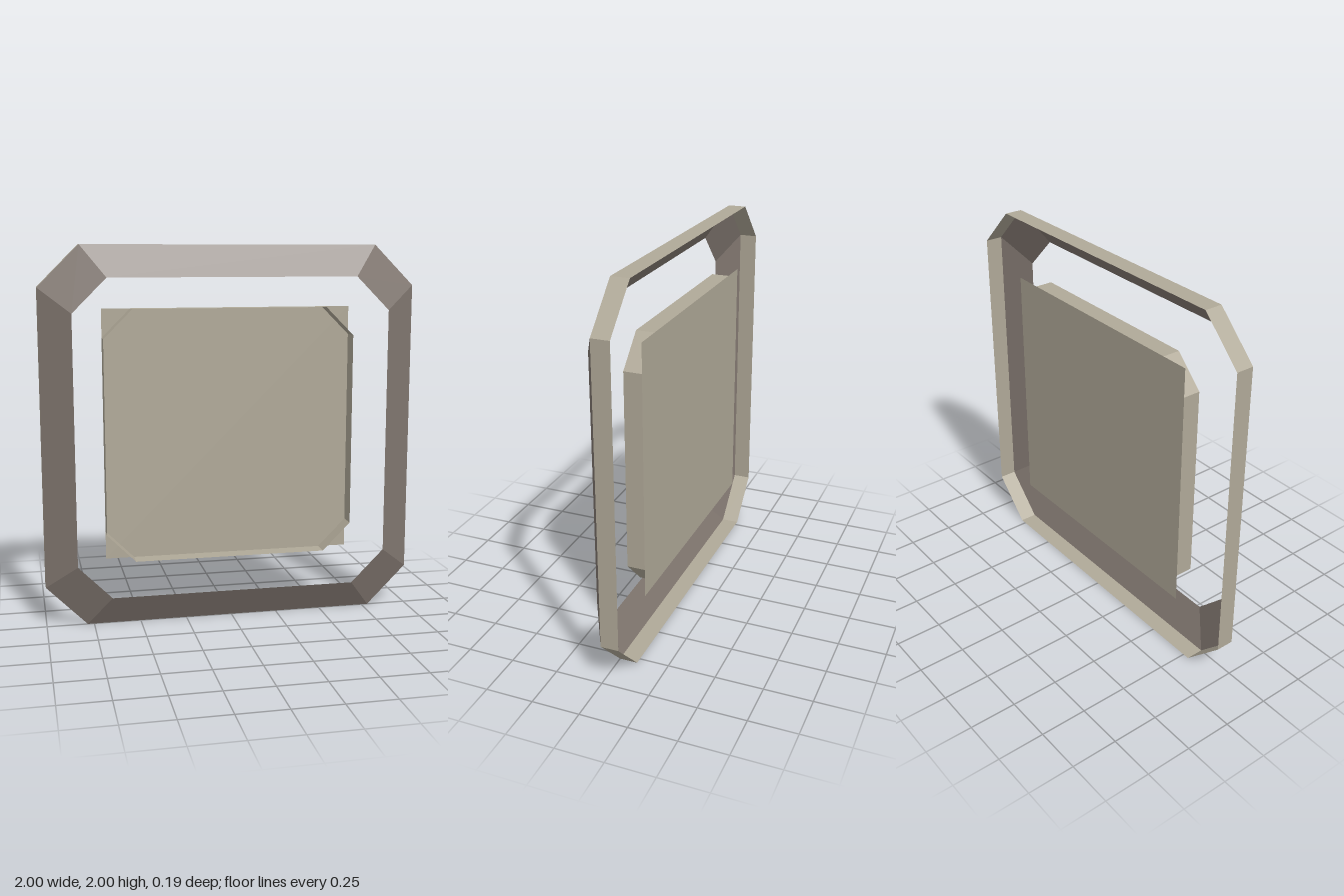
import * as THREE from 'three';

const stone = new THREE.MeshStandardMaterial({ color: 0xb0a998, side: THREE.DoubleSide, flatShading: true });
stone.name = 'paleStone';
const bezel = new THREE.MeshStandardMaterial({ color: 0x80766f, side: THREE.DoubleSide, flatShading: true });
bezel.name = 'warmGrey';

// Counter-clockwise square loop with cut corners: half size, half length of the straight sides, depth
function octagon(half, flat, z) {
  return [
    [half, -flat], [half, flat], [flat, half], [-flat, half],
    [-half, flat], [-half, -flat], [-flat, -half], [flat, -half],
  ].map(([x, y]) => [x, y, z]);
}

// Open strip of flat quads joining a rear loop to a front loop
function strip(name, rear, front, material) {
  const positions = [];
  rear.forEach((a, i) => {
    const j = (i + 1) % rear.length;
    const b = rear[j], c = front[j], d = front[i];
    positions.push(...a, ...b, ...c, ...a, ...c, ...d);
  });
  const geometry = new THREE.BufferGeometry();
  geometry.setAttribute('position', new THREE.Float32BufferAttribute(positions, 3));
  geometry.computeVertexNormals();
  const mesh = new THREE.Mesh(geometry, material);
  mesh.name = name;
  return mesh;
}

export function createModel() {
  const group = new THREE.Group();
  group.name = 'framedPanel';
  const depth = 0.094;

  // Outer frame: straight rim behind, sloped bezel in front
  group.add(strip('outerRim', octagon(1, 0.785, -depth), octagon(1, 0.785, 0), stone));
  group.add(strip('slopedBezel', octagon(1, 0.785, 0), octagon(0.835, 0.657, depth), bezel));

  // Open tray: upright wall on a square back panel
  group.add(strip('trayWall', octagon(0.672, 0.52, -depth), octagon(0.672, 0.52, 0), stone));
  const panel = new THREE.Mesh(new THREE.PlaneGeometry(1.344, 1.344), stone);
  panel.name = 'backPanel';
  panel.position.z = -depth;
  group.add(panel);

  // Stand the model on the ground
  group.children.forEach((part) => { part.position.y = 1; });
  return group;
}
